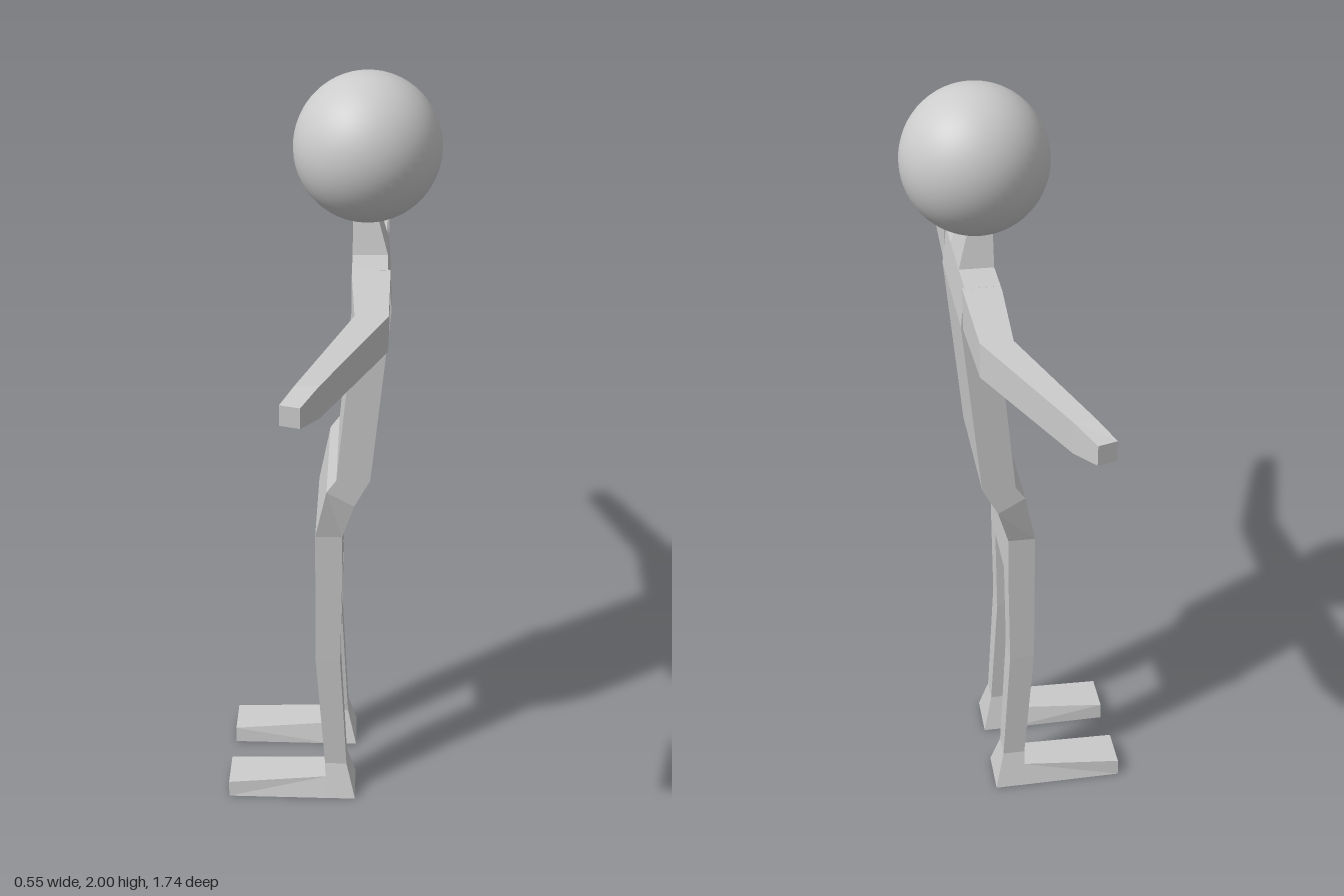
import * as THREE from 'three';

const material = new THREE.MeshStandardMaterial({ color: 0xcccccc, flatShading: true });
const smooth = new THREE.MeshStandardMaterial({ color: 0xcccccc });

// Skins a row of four-cornered sections, capped at both ends and facing outwards.
function loft(name, sections) {
  const pts = sections.flat().map((p) => new THREE.Vector3(...p));
  const tris = [];
  const quad = (a, b, c, d) => tris.push([a, b, c], [a, c, d]);
  for (let i = 0; i < sections.length - 1; i++) {
    for (let k = 0; k < 4; k++) {
      const a = i * 4 + k, b = i * 4 + (k + 1) % 4;
      quad(a, b, b + 4, a + 4);
    }
  }
  const n = pts.length;
  quad(3, 2, 1, 0);
  quad(n - 4, n - 3, n - 2, n - 1);

  // A negative enclosed volume means the faces point inwards
  const cross = new THREE.Vector3();
  const volume = tris.reduce((v, [a, b, c]) => v + pts[a].dot(cross.crossVectors(pts[b], pts[c])), 0);
  if (volume < 0) tris.forEach((t) => t.reverse());

  const geometry = new THREE.BufferGeometry().setFromPoints(tris.flat().map((i) => pts[i]));
  geometry.computeVertexNormals();
  const mesh = new THREE.Mesh(geometry, material);
  mesh.name = name;
  return mesh;
}

// Level section: height, front and back x, two z limits; yBack tilts the back edge
const level = (y, x0, x1, z0, z1, yBack = y) =>
  [[x0, y, z0], [x1, yBack, z0], [x1, yBack, z1], [x0, y, z1]];

// Upright section across an arm at distance z from the middle
const across = (z, x0, x1, y0, y1) => [[x0, y0, z], [x1, y0, z], [x1, y1, z], [x0, y1, z]];

export function createModel() {
  const model = new THREE.Group();
  model.name = 'figure';

  // Pelvis, waist, chest and shoulders
  model.add(loft('torso', [
    level(0.70, -0.03, 0.04, -0.16, 0.16),
    level(0.84, -0.03, 0.04, -0.16, 0.16),
    level(0.985, 0, 0.07, -0.185, 0.185, 0.945),
    level(1.02, 0.025, 0.11, -0.185, 0.185),
    level(1.48, 0.07, 0.155, -0.185, 0.185),
    level(1.58, 0.06, 0.145, -0.185, 0.185),
  ]));

  model.add(loft('neck', [
    level(1.58, 0.06, 0.145, -0.08, 0.08),
    level(1.66, 0.06, 0.122, -0.062, 0.062),
    level(1.70, 0.06, 0.115, -0.055, 0.055),
  ]));

  const head = new THREE.Mesh(new THREE.SphereGeometry(0.178, 48, 32), smooth);
  head.name = 'head';
  head.position.set(0.093, 1.822, 0);
  model.add(head);

  for (const [side, s] of [['left', 1], ['right', -1]]) {
    // Arm bending forward at the elbow
    model.add(loft(`${side} arm`, [
      across(s * 0.18, 0.06, 0.15, 1.475, 1.58),
      across(s * 0.21, 0.06, 0.15, 1.477, 1.579),
      across(s * 0.44, 0.07, 0.145, 1.485, 1.57),
      across(s * 0.79, -0.045, 0.005, 1.49, 1.562),
      [[-0.072, 1.505, s * 0.855], [-0.03, 1.505, s * 0.868],
        [-0.03, 1.55, s * 0.868], [-0.072, 1.55, s * 0.855]],
    ]));

    // Leg from pelvis down to the flared heel
    model.add(loft(`${side} leg`, [
      level(0.70, -0.03, 0.04, s * 0.08, s * 0.16),
      level(0.45, -0.03, 0.036, s * 0.08, s * 0.16),
      level(0.10, -0.005, 0.055, s * 0.09, s * 0.155),
      level(0, -0.002, 0.08, s * 0.06, s * 0.185),
    ]));

    // Wedge-shaped foot
    model.add(loft(`${side} foot`, [
      [[-0.275, 0, s * 0.062], [-0.275, 0, s * 0.183], [-0.275, 0.045, s * 0.178], [-0.275, 0.045, s * 0.067]],
      [[0, 0, s * 0.06], [0, 0, s * 0.185], [0, 0.062, s * 0.166], [0, 0.062, s * 0.079]],
    ]));
  }
  return model;
}
